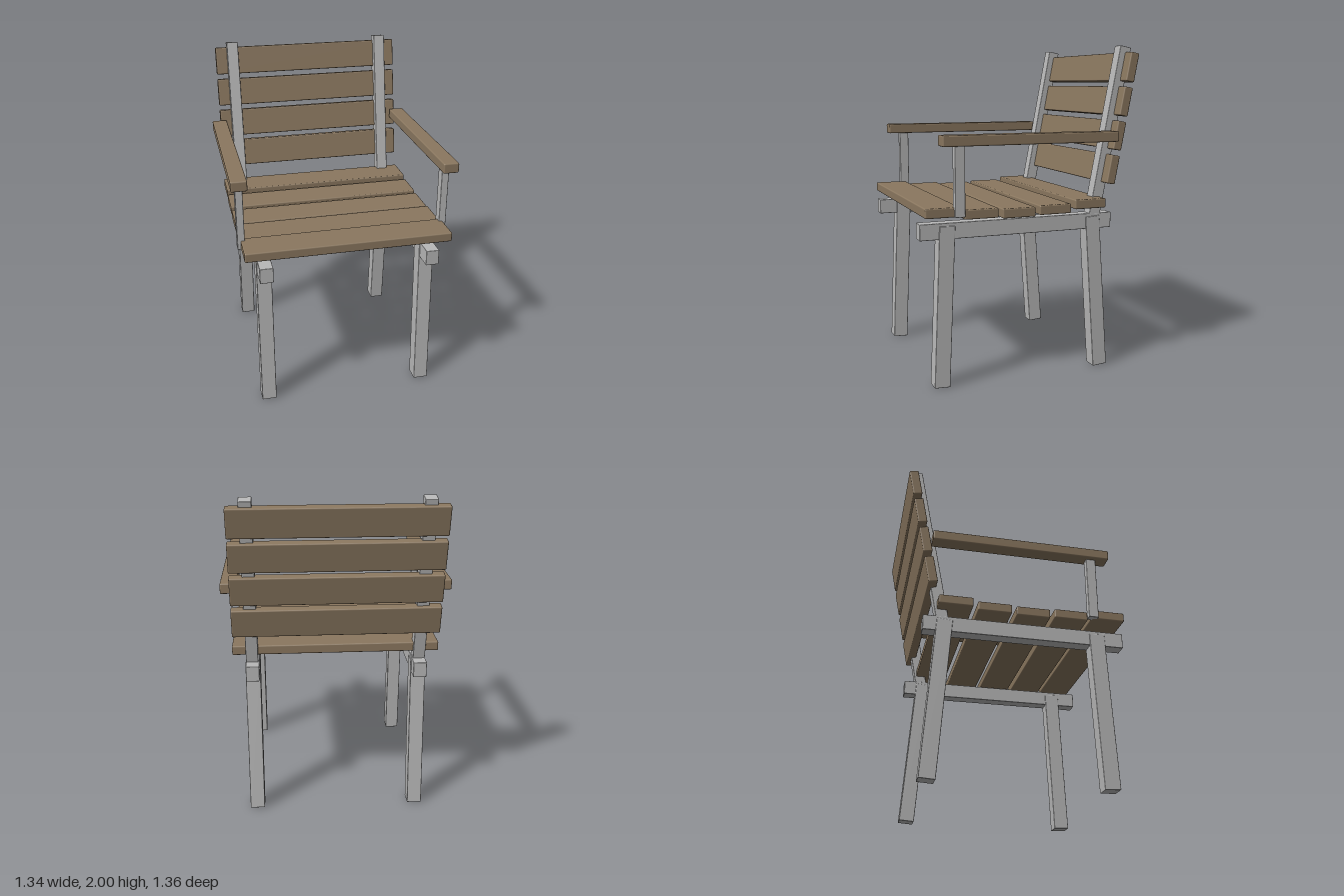
import * as THREE from 'three';
import { RoundedBoxGeometry } from 'three/addons/geometries/RoundedBoxGeometry.js';

export function createModel() {
  const chair = new THREE.Group();
  chair.name = 'gardenArmchair';

  const wood = new THREE.MeshStandardMaterial({ color: 0x8a775f });
  wood.name = 'brown wood';
  const metal = new THREE.MeshStandardMaterial({ color: 0xb8b8b8 });
  metal.name = 'grey metal';

  // Softly eased board or bar, optionally tilted about x
  function bar(name, material, size, position, tilt = 0) {
    const radius = material === wood ? 0.008 : 0.004;
    const mesh = new THREE.Mesh(new RoundedBoxGeometry(...size, 2, radius), material);
    mesh.name = name;
    mesh.position.set(...position);
    mesh.rotation.x = tilt;
    chair.add(mesh);
  }

  // Square bar running between two [y, z] points in the side plane
  function strut(name, x, width, depth, [y0, z0], [y1, z1]) {
    const length = Math.hypot(y1 - y0, z1 - z0);
    bar(name, metal, [width, length, depth],
      [x, (y0 + y1) / 2, (z0 + z1) / 2], Math.atan2(z1 - z0, y1 - y0));
  }

  // Frame and arms, mirrored left and right
  for (const [side, s] of [['left', 1], ['right', -1]]) {
    bar(side + 'SeatRail', metal, [0.08, 0.095, 1.225], [s * 0.5, 0.938, 0.068]);
    strut(side + 'FrontLeg', s * 0.5, 0.09, 0.095, [0.003, 0.556], [0.967, 0.516]);
    strut(side + 'RearLeg', s * 0.5, 0.09, 0.095, [0.004, -0.486], [0.967, -0.415]);
    strut(side + 'BackPost', s * 0.503, 0.073, 0.073, [0.94, -0.424], [1.993, -0.624]);
    bar(side + 'ArmPost', metal, [0.044, 0.41, 0.06], [s * 0.618, 1.235, 0.47]);
    bar(side + 'Armrest', wood, [0.095, 0.062, 1.095], [s * 0.622, 1.461, 0.03]);
  }

  // Seat slats, dished towards the middle
  [[1.058, 0.566], [1.04, 0.334], [1.032, 0.102], [1.038, -0.13], [1.058, -0.362]]
    .forEach(([y, z], i) => bar('seatSlat' + (i + 1), wood, [1.24, 0.057, 0.205], [0, y, z]));

  // Back slats, stepping up along the reclined posts
  for (let i = 0; i < 4; i++) {
    bar('backSlat' + (i + 1), wood, [1.225, 0.175, 0.057],
      [0, 1.257 + i * 0.204, -0.516 - i * 0.0387], -0.188);
  }

  return chair;
}
